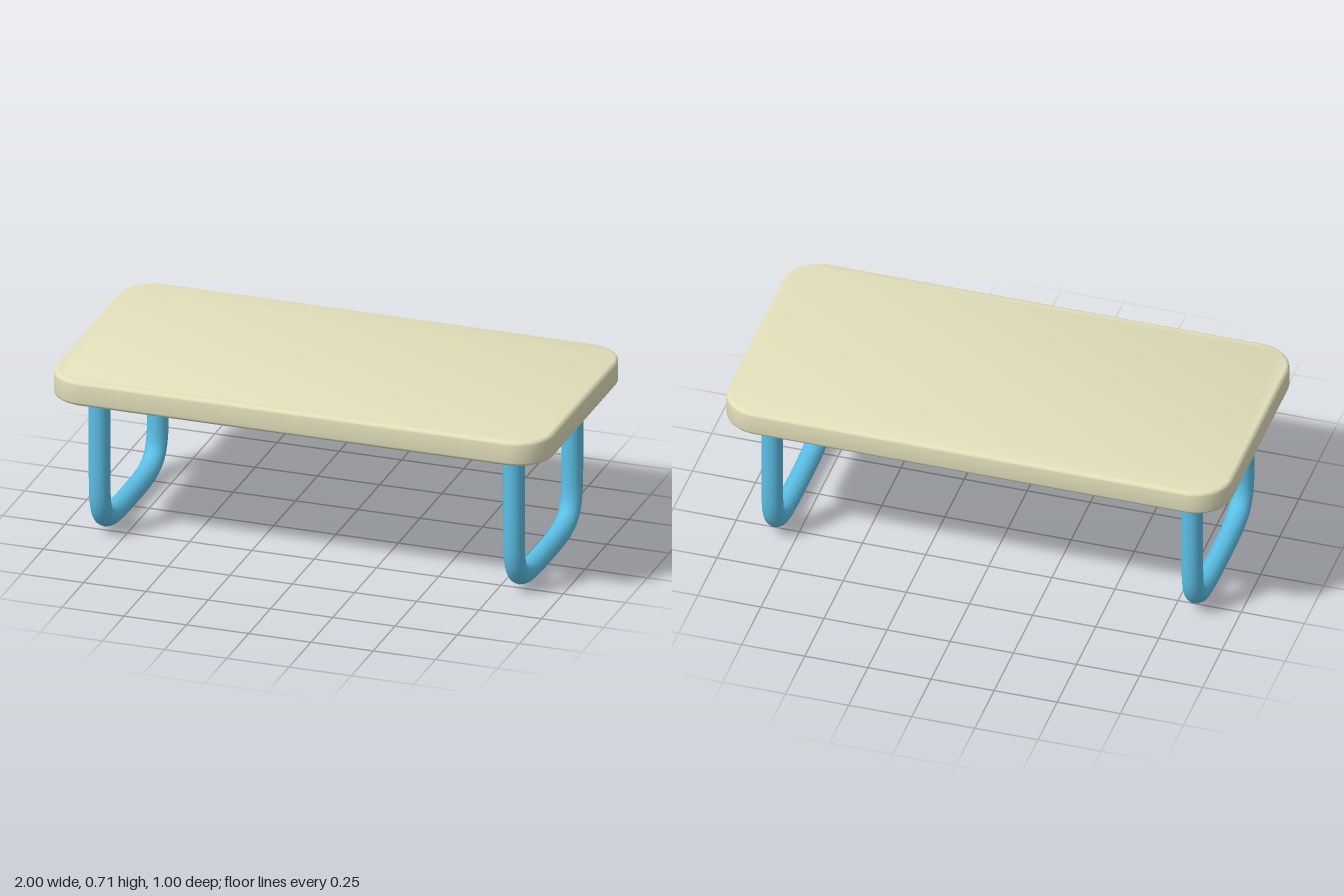
import * as THREE from 'three';
import { toCreasedNormals } from 'three/addons/utils/BufferGeometryUtils.js';

const topMaterial = new THREE.MeshStandardMaterial({ color: 0xe2dfba });
const legMaterial = new THREE.MeshStandardMaterial({ color: 0x5bbfe6, side: THREE.DoubleSide });

// Rounded rectangle centred on the origin
function roundedRect(w, d, r) {
  const x = w / 2, y = d / 2;
  const s = new THREE.Shape();
  s.absarc(x - r, y - r, r, 0, Math.PI / 2);
  s.absarc(-x + r, y - r, r, Math.PI / 2, Math.PI);
  s.absarc(-x + r, -y + r, r, Math.PI, Math.PI * 1.5);
  s.absarc(x - r, -y + r, r, Math.PI * 1.5, Math.PI * 2);
  s.closePath();
  return s;
}

// Slab with softened rims
function createTop() {
  const bevel = 0.015, thickness = 0.1;
  const slab = new THREE.ExtrudeGeometry(roundedRect(2 - 2 * bevel, 1 - 2 * bevel, 0.13), {
    depth: thickness - 2 * bevel, bevelEnabled: true, bevelSize: bevel,
    bevelThickness: bevel, bevelSegments: 4, curveSegments: 10,
  });
  slab.rotateX(-Math.PI / 2);
  slab.translate(0, 0.61 + bevel, 0);
  const mesh = new THREE.Mesh(toCreasedNormals(slab, Math.PI / 5), topMaterial);
  mesh.name = 'tableTop';
  return mesh;
}

// U-shaped tube: one half of the centreline as [z, y], mirrored across z = 0
function createLeg(x) {
  const half = [
    [0.335, 0.62], [0.335, 0.45], [0.335, 0.3], [0.333, 0.22], [0.328, 0.165],
    [0.313, 0.115], [0.283, 0.078], [0.24, 0.058], [0.18, 0.047], [0.1, 0.043],
  ];
  const points = [
    ...half.map(([z, y]) => new THREE.Vector3(x, y, z)),
    new THREE.Vector3(x, 0.042, 0),
    ...half.slice().reverse().map(([z, y]) => new THREE.Vector3(x, y, -z)),
  ];
  const curve = new THREE.CatmullRomCurve3(points, false, 'centripetal');
  const mesh = new THREE.Mesh(new THREE.TubeGeometry(curve, 64, 0.041, 20), legMaterial);
  mesh.name = x > 0 ? 'leftLeg' : 'rightLeg';
  return mesh;
}

export function createModel() {
  const table = new THREE.Group();
  table.name = 'table';
  table.add(createTop());
  for (const side of [-1, 1]) table.add(createLeg(side * 0.832));
  return table;
}
